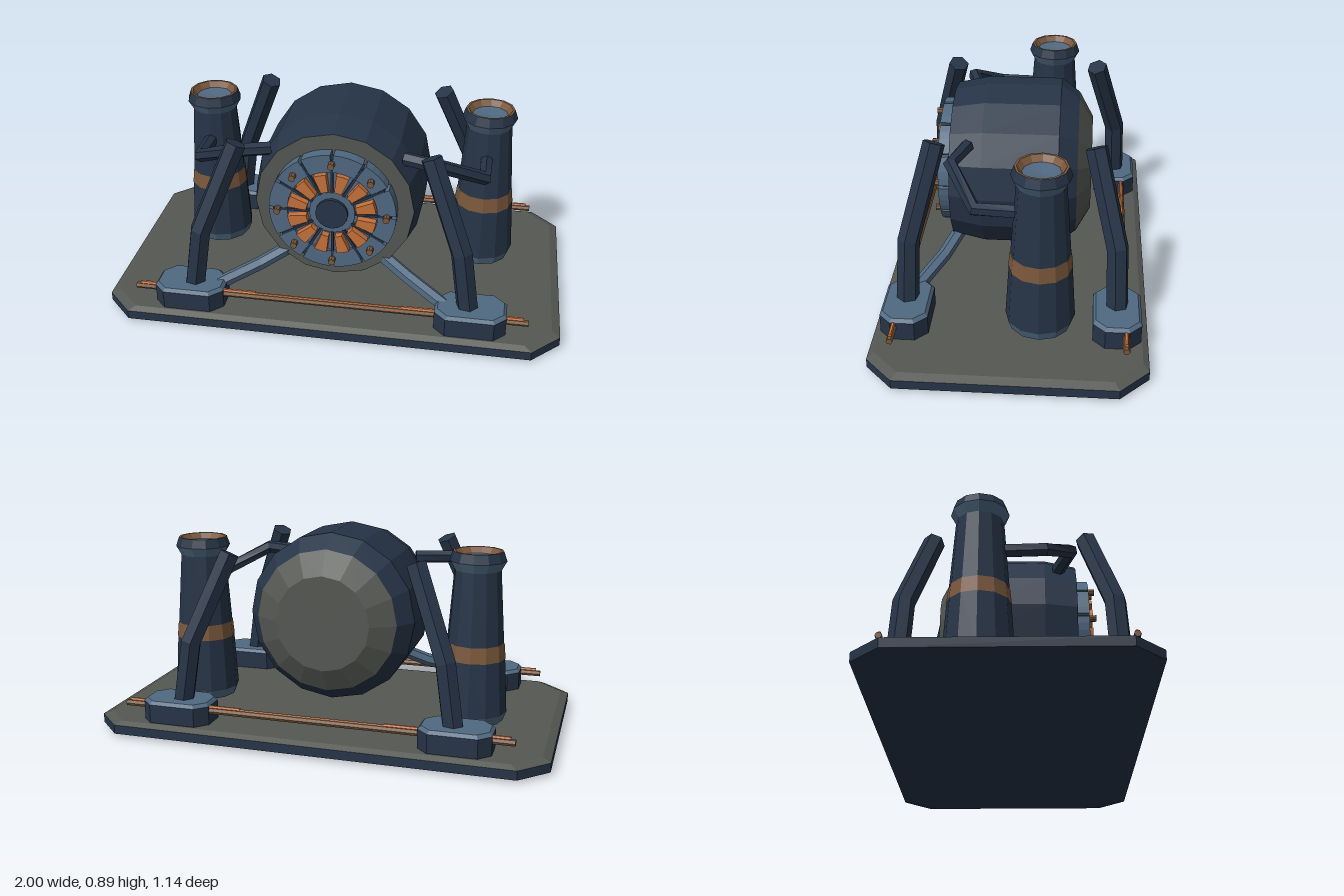
import * as THREE from 'three';

const mat = (name, color) => Object.assign(new THREE.MeshStandardMaterial({ color }), { name });

// Flat normals for faceted surfaces
function faceted(geo) {
  const g = geo.index ? geo.toNonIndexed() : geo;
  g.computeVertexNormals();
  return g;
}

// Skin a list of matching rings (counter-clockwise seen from the far end) and cap both ends
function loft(rings) {
  const pos = [], n = rings[0].length;
  const tri = (...pts) => pts.forEach(p => pos.push(p.x, p.y, p.z));
  for (let k = 0; k < rings.length - 1; k++) {
    const a = rings[k], b = rings[k + 1];
    for (let i = 0; i < n; i++) {
      const j = (i + 1) % n;
      tri(a[i], a[j], b[j]);
      tri(a[i], b[j], b[i]);
    }
  }
  const first = rings[0], last = rings[rings.length - 1];
  for (let i = 1; i < n - 1; i++) {
    tri(first[0], first[i + 1], first[i]);
    tri(last[0], last[i], last[i + 1]);
  }
  const g = new THREE.BufferGeometry();
  g.setAttribute('position', new THREE.Float32BufferAttribute(pos, 3));
  g.computeVertexNormals();
  return g;
}

// Rectangle with cut corners at height y
function octagon(hx, hz, cut, y) {
  return [[hx, hz - cut], [hx, cut - hz], [hx - cut, -hz], [cut - hx, -hz],
    [-hx, cut - hz], [-hx, hz - cut], [cut - hx, hz], [hx - cut, hz]]
    .map(([x, z]) => new THREE.Vector3(x, y, z));
}

// Six-sided bent bar with mitred joints
function bar(points, radius) {
  const p = points.map(a => new THREE.Vector3(...a));
  const dirs = p.slice(1).map((q, i) => q.clone().sub(p[i]).normalize());
  let u = new THREE.Vector3(0.31, 0.2, 1);
  return loft(p.map((c, i) => {
    const t = (dirs[i - 1] || dirs[0]).clone().add(dirs[i] || dirs[dirs.length - 1]).normalize();
    u = u.clone().addScaledVector(t, -u.dot(t)).normalize();
    const v = t.clone().cross(u);
    return Array.from({ length: 6 }, (_, k) => c.clone()
      .addScaledVector(u, radius * Math.cos(k * Math.PI / 3))
      .addScaledVector(v, radius * Math.sin(k * Math.PI / 3)));
  }));
}

const lathe = (profile, sides) =>
  faceted(new THREE.LatheGeometry(profile.map(([r, y]) => new THREE.Vector2(r, y)), sides));

// Block shaped like a slice of a ring, standing on the xy plane
function sector(r0, r1, mid, width, depth) {
  const s = new THREE.Shape();
  s.absarc(0, 0, r1, mid - width / 2, mid + width / 2, false);
  s.absarc(0, 0, r0, mid + width / 2, mid - width / 2, true);
  return new THREE.ExtrudeGeometry(s, { depth, bevelEnabled: false, curveSegments: 2 });
}

export function createModel() {
  const navy = mat('dark navy', 0x263447);
  const steel = mat('blue steel', 0x506a82);
  const grey = mat('stone grey', 0x545752);
  const orange = mat('copper orange', 0xc87138);
  const bronze = mat('bronze', 0x7a583b);

  const model = new THREE.Group();
  model.name = 'machine';
  const add = (name, geo, material, x = 0, y = 0, z = 0, parent = model) => {
    const m = new THREE.Mesh(geo, material);
    m.name = name;
    m.position.set(x, y, z);
    parent.add(m);
    return m;
  };

  // Base slab with cut corners
  add('baseSlab', loft([octagon(0.95, 0.52, 0.11, 0.005), octagon(1, 0.57, 0.12, 0.02),
    octagon(1, 0.57, 0.12, 0.06)]), navy);
  add('baseTop', loft([octagon(1, 0.57, 0.12, 0.06), octagon(0.965, 0.545, 0.115, 0.075)]), grey);

  // Foot pads and bent legs at the four corners
  const padBody = loft([octagon(0.153, 0.1, 0.05, 0.078), octagon(0.153, 0.1, 0.05, 0.16)]);
  const padTop = loft([octagon(0.153, 0.1, 0.05, 0.16), octagon(0.14, 0.088, 0.045, 0.175)]);
  for (const sx of [1, -1]) {
    for (const sz of [1, -1]) {
      add('footPad', padBody, navy, sx * 0.615, 0, sz * 0.44);
      add('footPadTop', padTop, steel, sx * 0.615, 0, sz * 0.44);
      add('leg', bar([[sx * 0.6, 0.16, sz * 0.44], [sx * 0.56, 0.43, sz * 0.43],
        [sx * 0.41, 0.81, sz * 0.33]], 0.047), navy);
    }
  }

  // Long rods through the pads, with a thin line and end sleeves
  const rod = (r, len) => faceted(new THREE.CylinderGeometry(r, r, len, 6).rotateZ(Math.PI / 2));
  const mainRod = rod(0.014, 1.72), thinRod = rod(0.006, 1.64), sleeve = rod(0.009, 0.52);
  for (const z of [0.475, -0.475]) {
    add('rod', mainRod, bronze, 0, 0.138, z);
    add('thinRod', thinRod, orange, 0, 0.152, z);
    for (const sx of [1, -1]) add('rodSleeve', sleeve, orange, sx * 0.58, 0.154, z);
  }

  // Barrel lying along z
  const barrel = new THREE.Group();
  barrel.name = 'barrel';
  barrel.position.y = 0.52;
  model.add(barrel);
  const part = (name, geo, material, x = 0, y = 0, z = 0) => add(name, geo, material, x, y, z, barrel);
  const turned = profile => lathe(profile, 16).rotateX(Math.PI / 2);
  part('barrelShell', turned([[0.315, -0.255], [0.375, -0.175], [0.375, 0.15], [0.345, 0.29]]), navy);
  part('barrelBack', turned([[0, -0.315], [0.21, -0.315], [0.315, -0.255]]), grey);
  part('barrelFront', turned([[0.345, 0.29], [0, 0.29]]), grey);

  // Front face: plates, coils, spokes, bolts and hub
  const drum = (r, len, sides) =>
    faceted(new THREE.CylinderGeometry(r, r, len, sides).rotateX(Math.PI / 2));
  part('faceDisc', drum(0.21, 0.045, 24), steel, 0, 0, 0.31);
  const step = Math.PI / 6;
  for (let i = 0; i < 12; i++) {
    const a = i * step, mid = a + step / 2;
    part('facePlate', sector(0.195, 0.275, mid, step - 0.05, 0.055), steel, 0, 0, 0.29);
    part('coil', sector(0.11, 0.192, mid, step * 0.55, 0.035), orange, 0, 0, 0.33);
    const spoke = part('spoke', new THREE.BoxGeometry(0.16, 0.011, 0.05), navy,
      0.175 * Math.cos(a), 0.175 * Math.sin(a), 0.322);
    spoke.rotation.z = a;
  }
  const bolt = drum(0.015, 0.035, 8);
  for (let i = 0; i < 8; i++) {
    const a = i * Math.PI / 4;
    part('bolt', bolt, bronze, 0.235 * Math.cos(a), 0.235 * Math.sin(a), 0.358);
  }
  part('hubCollar', drum(0.1, 0.03, 16), steel, 0, 0, 0.33);
  part('hub', drum(0.07, 0.05, 16), navy, 0, 0, 0.335);

  // Two towers, their pipes to the barrel, and the front braces
  const towerParts = [
    ['towerSkirt', steel, [[0, 0.1], [0.13, 0.1], [0.145, 0.14]]],
    ['towerBody', navy, [[0.145, 0.14], [0.13, 0.38]]],
    ['towerBand', bronze, [[0.132, 0.378], [0.125, 0.447]]],
    ['towerNeck', navy, [[0.123, 0.445], [0.1, 0.76]]],
    ['towerFlare', steel, [[0.1, 0.76], [0.122, 0.8]]],
    ['towerLip', navy, [[0.122, 0.8], [0.108, 0.84]]],
    ['towerRim', bronze, [[0.108, 0.84], [0.098, 0.84], [0.078, 0.815]]],
    ['towerMouth', steel, [[0.078, 0.815], [0, 0.805]]],
  ].map(([name, material, profile]) => [name, lathe(profile, 12), material]);
  for (const sx of [1, -1]) {
    for (const [name, geo, material] of towerParts) add(name, geo, material, sx * 0.63, 0, -0.12);
    add('pipe', bar([[sx * 0.63, 0.63, -0.05], [sx * 0.63, 0.635, 0.145],
      [sx * 0.45, 0.735, 0.26], [sx * 0.29, 0.735, 0.21]], 0.03), navy);
    add('brace', bar([[sx * 0.19, 0.28, 0.25], [sx * 0.33, 0.21, 0.32],
      [sx * 0.5, 0.15, 0.42]], 0.03), steel);
  }
  return model;
}
